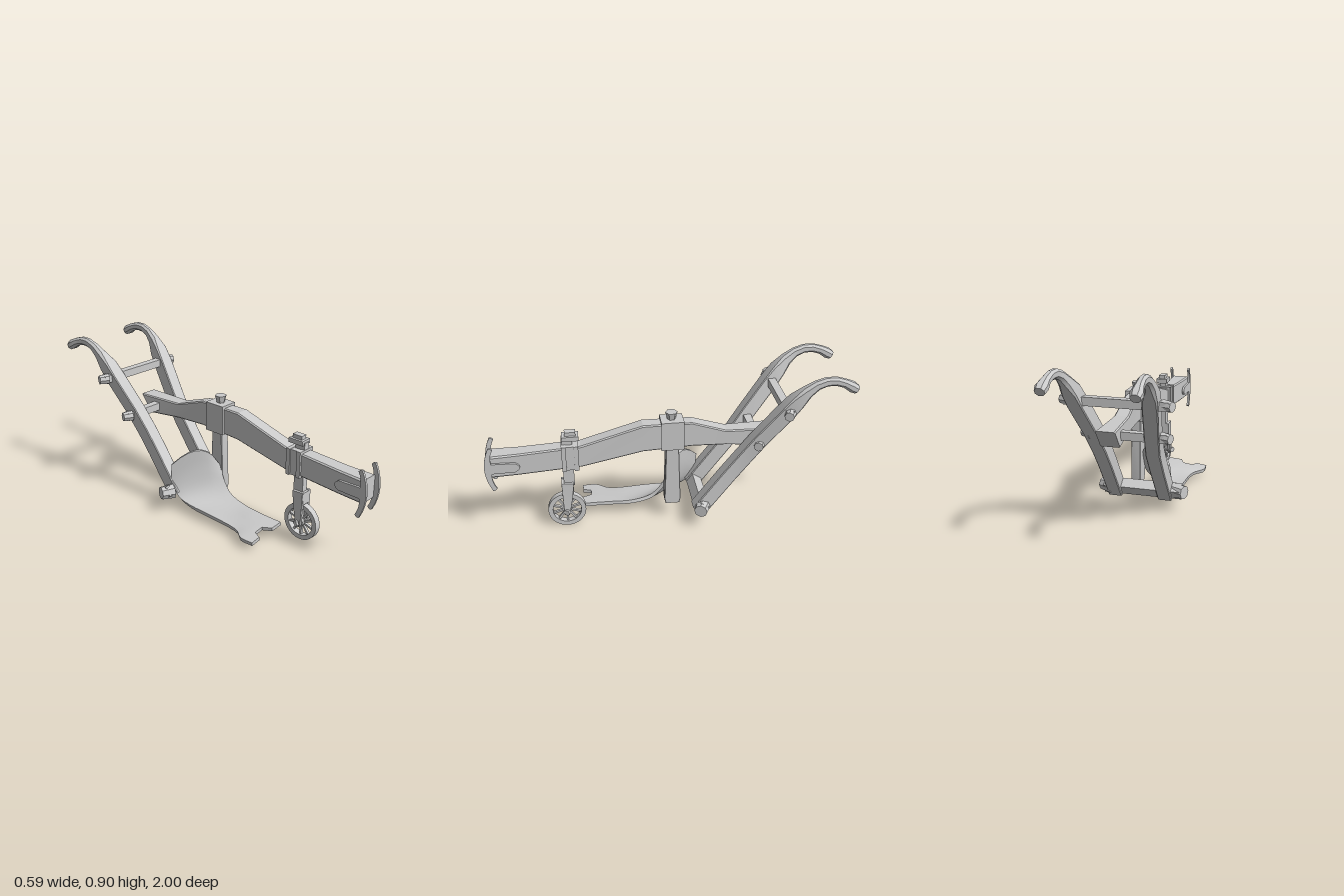
import * as THREE from 'three';
import { toCreasedNormals } from 'three/addons/utils/BufferGeometryUtils.js';

const mat = new THREE.MeshStandardMaterial({ color: 0xcccccc });
const BEAM_X = 0.08, HANDLE_X = 0.0145;

function add(parent, name, geo, x = 0, y = 0, z = 0) {
  const mesh = new THREE.Mesh(geo, mat);
  mesh.name = name;
  mesh.position.set(x, y, z);
  parent.add(mesh);
  return mesh;
}
const box = (w, h, d) => new THREE.BoxGeometry(w, h, d);
// Cylinder lying along x
const rod = (r0, r1, len, n) => toCreasedNormals(
  new THREE.CylinderGeometry(r0, r1, len, n).rotateX(Math.PI / n).rotateZ(-Math.PI / 2), 0.5);

function fromTriangles(pts, crease) {
  const g = new THREE.BufferGeometry().setFromPoints(pts);
  return toCreasedNormals(g, crease);
}

// Chamfered rectangles swept in the yz plane: [x, y, z, width, height, chamfer, tilt]
function loft(stations, crease = 0.6) {
  const last = stations.length - 1;
  const rings = stations.map(([x, y, z, w, h, c = 0.06, tilt], i) => {
    const a = stations[Math.max(i - 1, 0)], b = stations[Math.min(i + 1, last)];
    const ang = tilt ?? Math.atan2(b[1] - a[1], a[2] - b[2]);
    const k = Math.min(w, h) * c, W = w / 2, H = h / 2;
    return [[W, k - H], [W, H - k], [W - k, H], [k - W, H], [-W, H - k], [-W, k - H], [k - W, -H], [W - k, -H]]
      .map(([u, v]) => new THREE.Vector3(x + u, y + v * Math.cos(ang), z + v * Math.sin(ang)));
  });
  const t = [], n = 8;
  for (let i = 0; i < last; i++) for (let k = 0; k < n; k++) {
    const a = rings[i][k], b = rings[i][(k + 1) % n], c = rings[i + 1][(k + 1) % n], d = rings[i + 1][k];
    t.push(a, d, c, a, c, b);
  }
  for (let k = 1; k < n - 1; k++) {
    t.push(rings[0][0], rings[0][k], rings[0][k + 1]);
    t.push(rings[last][0], rings[last][k + 1], rings[last][k]);
  }
  return fromTriangles(t, crease);
}

// Curved sheet: notched share at the front, sweeping up into a wall at the rear
function mouldboardGeometry() {
  const s = [0, 0.2, 0.33, 0.45, 0.58, 0.7, 0.85, 1];
  const tipX = [0.02, -0.055, -0.08, -0.105, -0.135, -0.155, -0.185, -0.215];
  const tipZ = [0.48, 0.48, 0.43, 0.43, 0.43, 0.475, 0.475, 0.475];
  const neckX = [0.022, -0.04, -0.065, -0.085, -0.11, -0.13, -0.15, -0.168];
  // Right, middle and left points of each later row
  const rows = [
    [[0.03, 0.09, 0.2], [-0.06, 0.07, 0.16], [-0.16, 0.065, 0.1]],
    [[0.035, 0.12, 0.1], [-0.055, 0.09, 0.04], [-0.16, 0.07, -0.04]],
    [[0.042, 0.17, 0.05], [-0.05, 0.14, -0.03], [-0.162, 0.09, -0.12]],
    [[0.047, 0.22, 0.02], [-0.045, 0.25, -0.065], [-0.165, 0.15, -0.175]],
    [[0.05, 0.265, 0], [-0.04, 0.36, -0.075], [-0.155, 0.27, -0.19]]];
  const quad = (r, u, i) => r[0][i] * (1 - u) * (1 - 2 * u) + r[1][i] * 4 * u * (1 - u) + r[2][i] * u * (2 * u - 1);
  const N = 28, C = s.length, top = [];
  s.forEach((u, j) => {
    const y = 0.085 - 0.03 * u;
    const path = [
      new THREE.Vector3(tipX[j], y, tipZ[j]),
      new THREE.Vector3(tipX[j], y, 0.395),
      new THREE.Vector3(neckX[j], y, 0.32),
      ...rows.map(r => new THREE.Vector3(quad(r, u, 0), quad(r, u, 1), quad(r, u, 2)))];
    top.push(...new THREE.CatmullRomCurve3(path).getPoints(N - 1));
  });
  const idx = [];
  for (let j = 0; j < C - 1; j++) for (let i = 0; i < N - 1; i++) {
    const a = j * N + i, b = a + 1, c = a + N, d = c + 1;
    idx.push(a, b, c, b, d, c);
  }
  const sheet = new THREE.BufferGeometry().setFromPoints(top);
  sheet.setIndex(idx);
  sheet.computeVertexNormals();
  const nrm = sheet.attributes.normal;
  const low = top.map((p, i) => p.clone().addScaledVector(new THREE.Vector3().fromBufferAttribute(nrm, i), -0.02));
  const t = idx.map(i => top[i]);
  for (let i = 0; i < idx.length; i += 3) t.push(low[idx[i]], low[idx[i + 2]], low[idx[i + 1]]);
  const edge = (a, b) => t.push(top[a], low[a], low[b], top[a], low[b], top[b]);
  for (let i = 0; i < N - 1; i++) {
    edge(i, i + 1);
    edge((C - 1) * N + i + 1, (C - 1) * N + i);
  }
  for (let j = 0; j < C - 1; j++) {
    edge((j + 1) * N, j * N);
    edge(j * N + N - 1, (j + 1) * N + N - 1);
  }
  return fromTriangles(t, 0.7);
}

// Side plate with a curved crossbar and a rounded tongue
function hitchGeometry() {
  const p = new THREE.Shape();
  p.moveTo(0.968, 0.56);
  p.quadraticCurveTo(1.03, 0.43, 0.965, 0.3);
  p.quadraticCurveTo(0.95, 0.295, 0.942, 0.312);
  p.quadraticCurveTo(0.968, 0.36, 0.96, 0.405);
  p.lineTo(0.835, 0.408);
  p.quadraticCurveTo(0.785, 0.435, 0.835, 0.462);
  p.lineTo(0.96, 0.465);
  p.quadraticCurveTo(0.968, 0.51, 0.945, 0.55);
  p.quadraticCurveTo(0.955, 0.565, 0.968, 0.56);
  const g = new THREE.ExtrudeGeometry(p, { depth: 0.013, bevelEnabled: false, curveSegments: 8 });
  return g.rotateY(-Math.PI / 2).translate(0.0065, 0, 0);
}

function createWheel() {
  const wheel = new THREE.Group();
  wheel.name = 'wheel';
  const ring = new THREE.Shape().absarc(0, 0, 0.106, 0, Math.PI * 2);
  ring.holes.push(new THREE.Path().absarc(0, 0, 0.08, 0, Math.PI * 2, true));
  const rim = new THREE.ExtrudeGeometry(ring, { depth: 0.035, bevelEnabled: false, curveSegments: 32 });
  add(wheel, 'rim', toCreasedNormals(rim.translate(0, 0, -0.0175).rotateY(Math.PI / 2), 0.5));
  for (let i = 0; i < 10; i++) {
    const spoke = box(0.016, 0.07, 0.011).translate(0, 0.05, 0).rotateX(i * Math.PI / 5);
    add(wheel, 'spoke', spoke);
  }
  add(wheel, 'hub', rod(0.024, 0.024, 0.034, 16));
  add(wheel, 'axle', rod(0.01, 0.01, 0.1, 10));
  for (const d of [-1, 1]) add(wheel, 'axleNut', rod(0.018, 0.018, 0.014, 6), d * 0.047);
  wheel.position.set(0.082, 0.106, 0.575);
  return wheel;
}

export function createModel() {
  const plough = new THREE.Group();
  plough.name = 'plough';

  // Main beam with its collar, post and bolt
  add(plough, 'beam', loft([
    [BEAM_X, 0.437, 0.97, 0.105, 0.13, 0.08, 0], [BEAM_X, 0.44, 0.82, 0.092, 0.13, 0.08, 0],
    [BEAM_X, 0.46, 0.48, 0.082, 0.13, 0.08, 0], [BEAM_X, 0.545, 0.14, 0.082, 0.16, 0.08, 0],
    [BEAM_X, 0.55, -0.13, 0.076, 0.146, 0.08, 0], [BEAM_X - 0.005, 0.515, -0.32, 0.082, 0.09, 0.08, 0],
    [0.067, 0.504, -0.57, 0.105, 0.13, 0.06, -0.67]], 0.2));
  add(plough, 'collar', box(0.105, 0.17, 0.125), 0.0785, 0.553, -0.022);
  add(plough, 'collarBolt', new THREE.CylinderGeometry(0.034, 0.022, 0.045, 6).toNonIndexed(), 0.078, 0.657, -0.02)
    .geometry.computeVertexNormals();
  add(plough, 'post', loft([
    [0.077, 0.5, -0.024, 0.055, 0.07], [0.077, 0.13, -0.025, 0.055, 0.093], [0.077, 0.1, -0.025, 0.055, 0.08]]));

  // Hitch plates either side of the beam's front end
  for (const d of [-1, 1]) add(plough, 'hitchPlate', hitchGeometry(), BEAM_X + d * 0.058);

  // Gauge wheel, its fork and the clamp on the beam
  plough.add(createWheel());
  for (const d of [-1, 1]) {
    const x = 0.082 + d * 0.029;
    add(plough, 'forkArm', loft([[x, 0.29, 0.563, 0.014, 0.068],
      [x, 0.2, 0.567, 0.014, 0.056], [x + d * 0.004, 0.085, 0.577, 0.014, 0.03]]));
  }
  add(plough, 'forkCrown', box(0.058, 0.07, 0.066), 0.082, 0.253, 0.564);
  add(plough, 'wheelStem', box(0.036, 0.3, 0.06), 0.082, 0.42, 0.553);
  for (const z of [0.505, 0.573]) add(plough, 'clampBand', box(0.108, 0.15, 0.024), BEAM_X, 0.457, z);
  add(plough, 'clampPlate', box(0.094, 0.145, 0.05), BEAM_X, 0.457, 0.54);
  add(plough, 'clampCap', box(0.064, 0.026, 0.09), 0.082, 0.57, 0.533);
  add(plough, 'clampKnob', box(0.036, 0.025, 0.06), 0.082, 0.592, 0.533);

  add(plough, 'mouldboard', mouldboardGeometry());

  // Handles: [offset from centre, y, z, width, height, chamfer]
  const handle = [
    [0.142, 0.09, -0.165, 0.077, 0.085], [0.142, 0.31, -0.33, 0.077, 0.085],
    [0.145, 0.415, -0.41, 0.078, 0.085], [0.16, 0.53, -0.49, 0.078, 0.085],
    [0.19, 0.7, -0.618, 0.08, 0.085], [0.2, 0.77, -0.67, 0.078, 0.08, 0.1],
    [0.21, 0.825, -0.72, 0.058, 0.065, 0.25], [0.215, 0.863, -0.77, 0.044, 0.052, 0.29],
    [0.217, 0.881, -0.82, 0.04, 0.048, 0.29], [0.218, 0.882, -0.87, 0.04, 0.046, 0.29],
    [0.22, 0.867, -0.92, 0.046, 0.046, 0.29], [0.222, 0.845, -0.96, 0.062, 0.056, 0.29],
    [0.222, 0.83, -0.985, 0.05, 0.046, 0.29]];
  for (const d of [-1, 1])
    add(plough, d > 0 ? 'leftHandle' : 'rightHandle',
      loft(handle.map(([x, ...rest]) => [HANDLE_X + d * x, ...rest])));

  // Rungs with end caps: y, z, left end, right end, bar height, cap radius, cap length
  for (const [y, z, x0, x1, h, r, len] of [
    [0.712, -0.628, -0.285, 0.285, 0.044, 0.031, 0.055],
    [0.508, -0.487, -0.24, 0.23, 0.044, 0.031, 0.055],
    [0.118, -0.18, -0.24, 0.24, 0.062, 0.044, 0.075]]) {
    const bar = add(plough, 'rung', box(x1 - x0 - 0.04, h, h), (x0 + x1) / 2, y, z);
    bar.rotation.x = h > 0.05 ? -0.6 : 0;
    add(plough, 'rungCap', rod(r, r * 0.85, len, 8), x0 + len / 2, y, z);
    add(plough, 'rungCap', rod(r * 0.85, r, len, 8), x1 - len / 2, y, z);
  }
  return plough;
}
